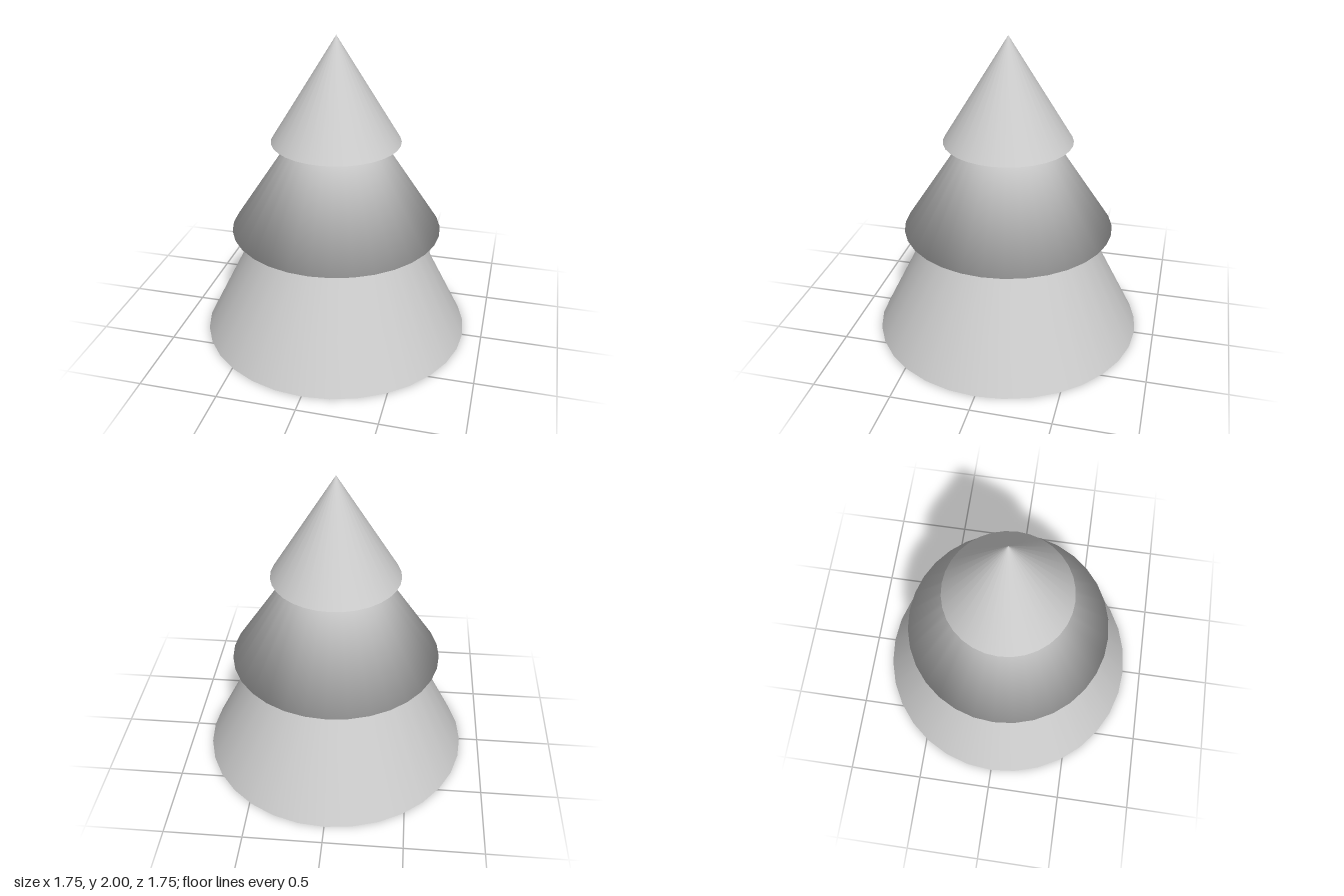
import * as THREE from 'three';

const SIDES = 32;

export function createModel() {
  const tree = new THREE.Group();
  tree.name = 'layeredTree';
  const material = new THREE.MeshStandardMaterial({ color: 0xcccccc, side: THREE.DoubleSide });

  const add = (name, geometry, y = 0) => {
    const mesh = new THREE.Mesh(geometry, material);
    mesh.name = name;
    mesh.position.y = y;
    tree.add(mesh);
  };

  // Lowest tier: a hollow skirt, open underneath
  const lowerHeight = 0.73;
  add('lowerTier', new THREE.CylinderGeometry(0.51, 0.875, lowerHeight, SIDES, 1, true), lowerHeight / 2);

  // Middle tier: underside and slope share one softly shaded rim
  const profile = [[0, 0.73], [0.68, 0.73], [0.29, 1.325]].map(([r, y]) => new THREE.Vector2(r, y));
  add('middleTier', new THREE.LatheGeometry(profile, SIDES));

  // Pointed top with a flat underside
  const topHeight = 0.675;
  add('topTier', new THREE.ConeGeometry(0.412, topHeight, SIDES), 2 - topHeight / 2);

  return tree;
}
